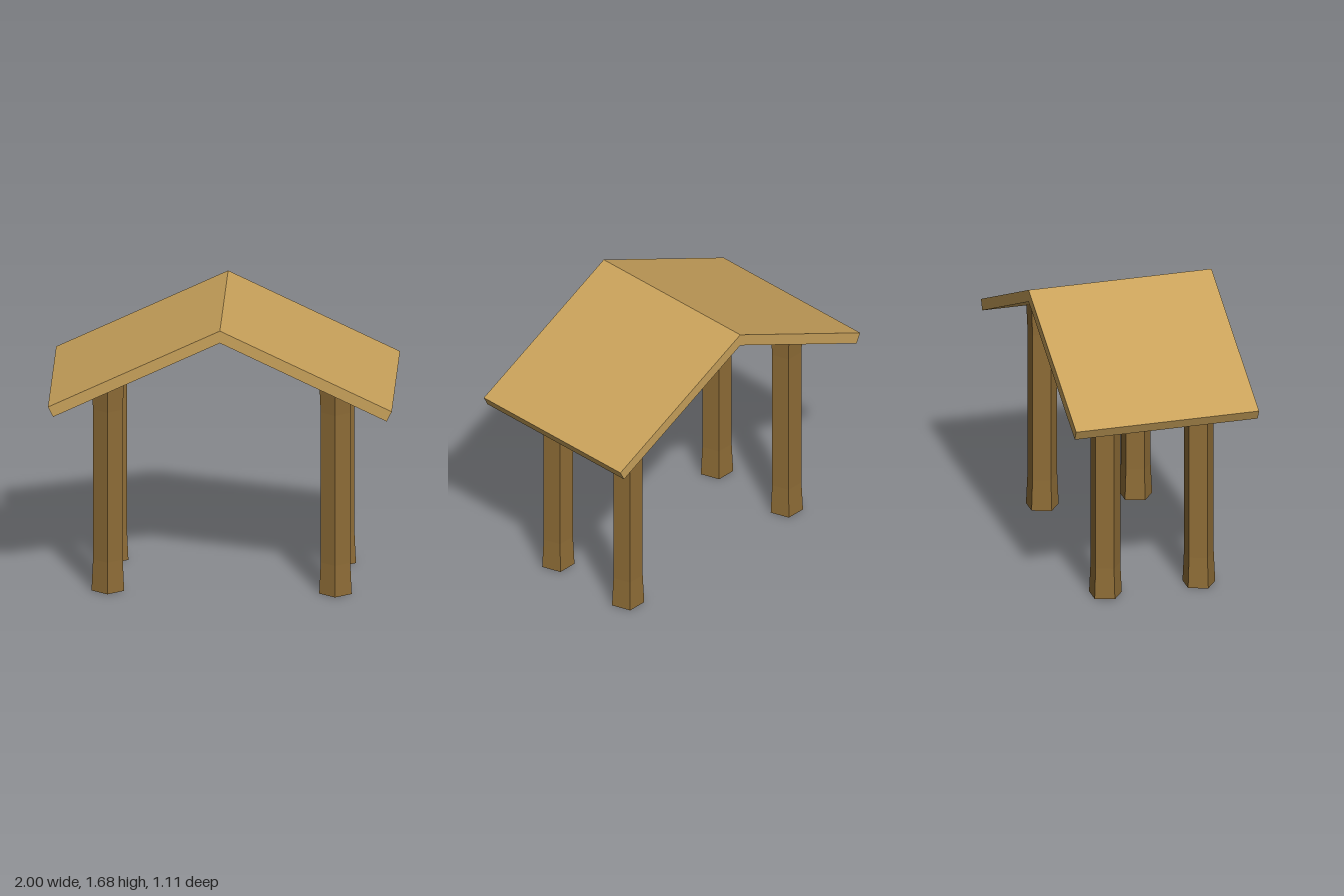
import * as THREE from 'three';

export function createModel() {
  const group = new THREE.Group();
  group.name = 'shelter';
  const roofWood = new THREE.MeshStandardMaterial({ color: 0xc9a25b, flatShading: true });
  const postWood = new THREE.MeshStandardMaterial({ color: 0x8f6d37, flatShading: true });

  // Gable roof: a chevron of constant thickness, extruded along z
  const depth = 1.106;
  const chevron = new THREE.Shape([
    [0, 1.68], [-1, 1.2], [-0.97, 1.14], [0, 1.606], [0.97, 1.14], [1, 1.2],
  ].map(([x, y]) => new THREE.Vector2(x, y)));
  const roofGeometry = new THREE.ExtrudeGeometry(chevron, { depth, bevelEnabled: false });
  roofGeometry.translate(0, 0, -depth / 2);
  const roof = new THREE.Mesh(roofGeometry, roofWood);
  roof.name = 'gableRoof';
  group.add(roof);

  // Five-sided posts, flared at both ends, with a hollow foot
  const profile = [
    [0, 0.1], [0.066, 0.1], [0.066, 0], [0.1, 0],
    [0.091, 0.19], [0.091, 1.11], [0.1, 1.3], [0, 1.3],
  ].map(([r, y]) => new THREE.Vector2(r, y));
  const postGeometry = new THREE.LatheGeometry(profile, 5);
  for (const [row, z] of [['front', 0.285], ['back', -0.28]]) {
    for (const side of [-1, 1]) {
      const post = new THREE.Mesh(postGeometry, postWood);
      post.name = row + (side > 0 ? 'Left' : 'Right') + 'Post';
      post.position.set(side * 0.662, 0, z);
      group.add(post);
    }
  }
  return group;
}
